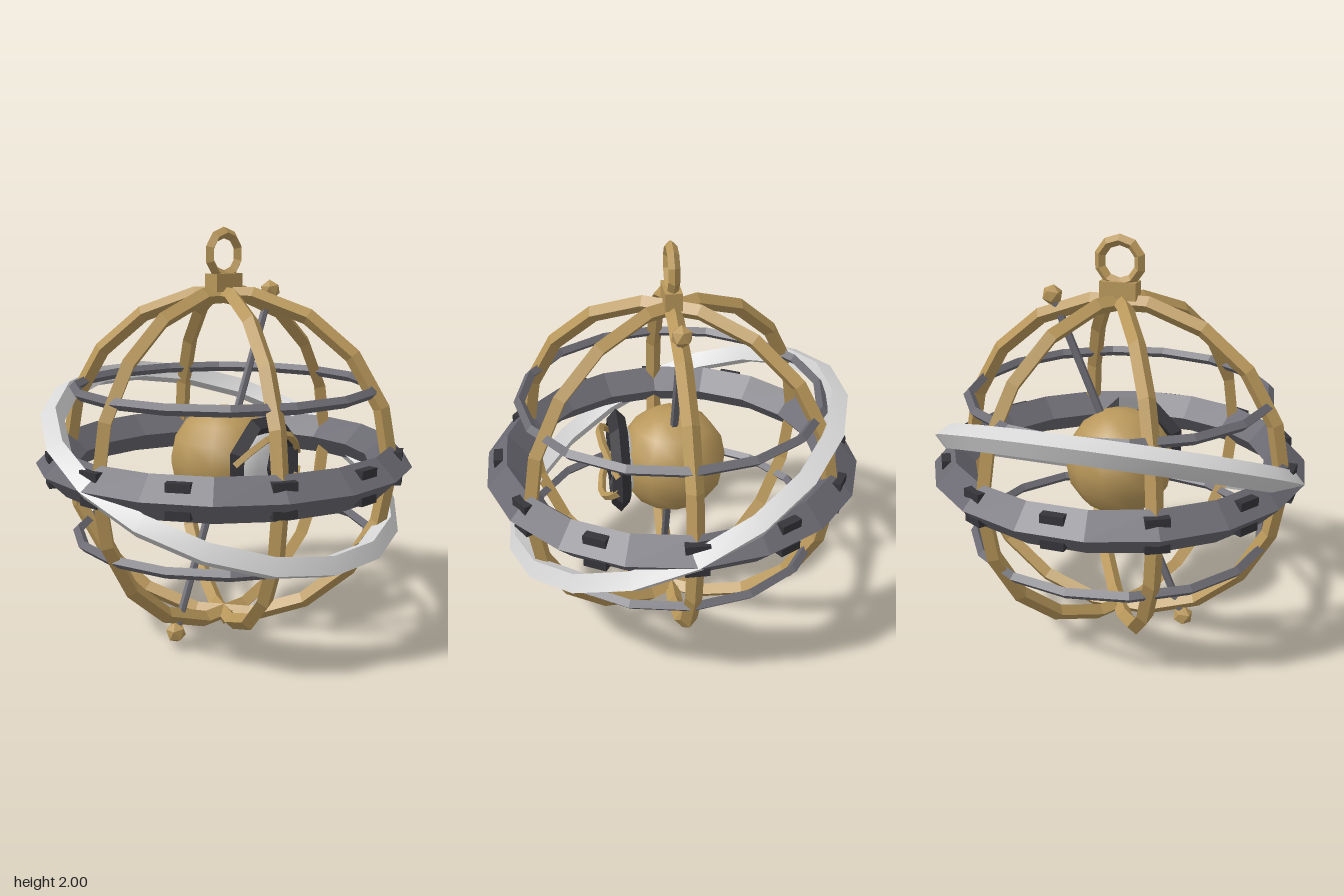
import * as THREE from 'three';
import { toCreasedNormals } from 'three/addons/utils/BufferGeometryUtils.js';

export function createModel() {
  const root = new THREE.Group();
  root.name = 'armillaryOrb';
  const mat = (name, color) => {
    const m = new THREE.MeshStandardMaterial({ color });
    m.name = name;
    return m;
  };
  const gold = mat('gold', 0xb8975a);
  const steel = mat('steel', 0x6b6a72);
  const silver = mat('silver', 0xd6d6d6);
  const dark = mat('darkIron', 0x35353a);

  const CY = 0.877; // height of the orb's centre
  const orb = new THREE.Group();
  orb.name = 'orb';
  orb.position.y = CY;
  root.add(orb);

  // crease 0.1 gives flat facets, larger values smooth the gentle bends
  const add = (parent, name, geo, material, crease = 0.1) => {
    const mesh = new THREE.Mesh(crease ? toCreasedNormals(geo, crease) : geo, material);
    mesh.name = name;
    parent.add(mesh);
    return mesh;
  };
  // ring with a diamond section, lying in the xy plane
  const ring = (R, r, segments) => new THREE.TorusGeometry(R, r, 4, segments);

  // cage of three upright rings
  for (let i = 0; i < 3; i++) {
    add(orb, 'meridianRing', ring(0.817, 0.04, 18), gold).rotation.y = (i * Math.PI) / 3;
  }

  // two thin latitude rings
  for (const s of [1, -1]) {
    add(orb, 'latitudeRing', ring(0.73, 0.027, 16).rotateX(Math.PI / 2), steel).position.y = s * 0.363;
  }

  // heavy equatorial ring with studs on both outer slopes
  add(orb, 'equatorRing', ring(0.82, 0.102, 18).rotateX(Math.PI / 2), steel);
  const studs = new THREE.Group();
  studs.name = 'equatorStuds';
  orb.add(studs);
  for (let i = 0; i < 12; i++) {
    for (const s of [1, -1]) {
      const stud = new THREE.BoxGeometry(0.11, 0.04, 0.045).translate(0, s * 0.06, 0.852);
      add(studs, 'stud', stud, dark).rotation.y = (i * Math.PI) / 6;
    }
  }

  // tilted silver ring, low at the front
  add(orb, 'tiltedRing', ring(0.865, 0.06, 18).rotateX(Math.PI / 2 + 0.425), silver, 0.6);

  // core globe
  add(orb, 'globe', new THREE.SphereGeometry(0.27, 12, 8), gold, 0);

  // slanted axle with faceted knobs
  const axle = new THREE.Group();
  axle.name = 'axle';
  axle.rotation.z = -Math.atan2(0.345, 0.815);
  orb.add(axle);
  add(axle, 'axleRod', new THREE.CylinderGeometry(0.02, 0.02, 1.74, 6), steel);
  for (const s of [1, -1]) {
    add(axle, 'axleKnob', new THREE.IcosahedronGeometry(0.052, 0), gold).position.y = s * 0.885;
  }

  // eye on the front of the globe
  const eye = new THREE.Group();
  eye.name = 'eye';
  orb.add(eye);
  add(eye, 'eyeSocket', ring(0.215, 0.045, 8).rotateZ(Math.PI / 8), dark).position.z = 0.267;
  const white = add(eye, 'eyeball', new THREE.SphereGeometry(0.18, 12, 8), silver, 0);
  white.scale.z = 0.4;
  white.position.z = 0.24;
  const pupil = add(eye, 'pupil', new THREE.OctahedronGeometry(1, 0).scale(0.035, 0.12, 0.03), dark);
  pupil.position.z = 0.31;
  for (const s of [1, -1]) {
    const lid = new THREE.CatmullRomCurve3([
      new THREE.Vector3(-0.23, s * 0.04, 0.28),
      new THREE.Vector3(-0.13, s * 0.125, 0.335),
      new THREE.Vector3(0, s * 0.17, 0.355),
      new THREE.Vector3(0.13, s * 0.125, 0.335),
      new THREE.Vector3(0.23, s * 0.04, 0.28),
    ]);
    add(eye, 'eyelid', new THREE.TubeGeometry(lid, 6, 0.02, 4), gold);
  }

  // hanging collar and loop on top
  add(root, 'collar', new THREE.BoxGeometry(0.18, 0.085, 0.08), gold).position.y = 1.742;
  add(root, 'hangingLoop', ring(0.102, 0.027, 10).rotateZ(Math.PI / 10), gold).position.y = 1.875;

  // pointed finial underneath
  add(root, 'finial', new THREE.ConeGeometry(0.06, 0.09, 6).rotateX(Math.PI), gold).position.y = 0.045;

  return root;
}
